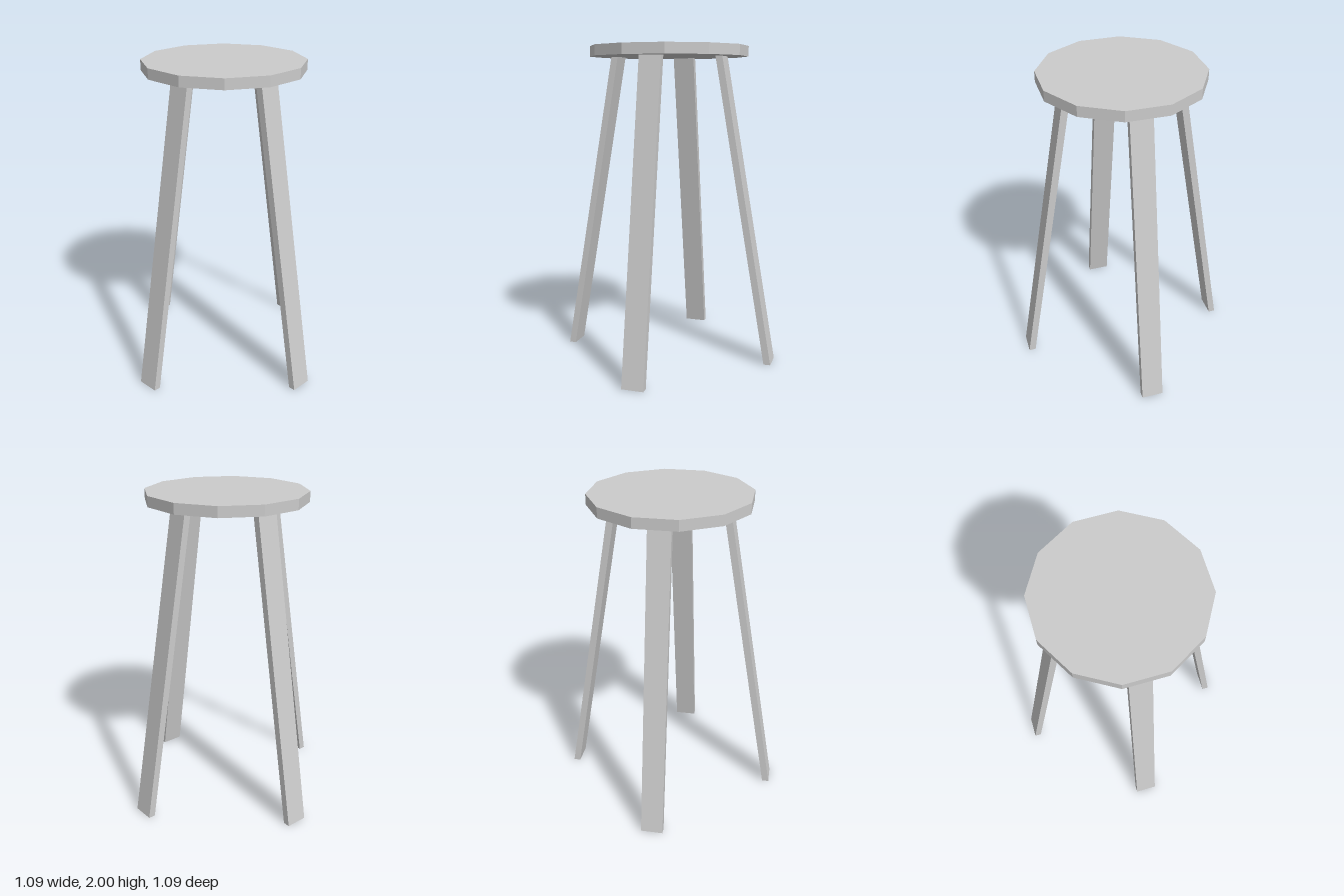
import * as THREE from 'three';

const material = new THREE.MeshStandardMaterial({ color: 0xcccccc, flatShading: true });

const HEIGHT = 2;
const SEAT_THICKNESS = 0.065;
const LEG_HEIGHT = HEIGHT - SEAT_THICKNESS;

// Flat plank whose centre line leans outward along +z toward the floor
function createLegGeometry() {
  const width = 0.138, thickness = 0.043;
  const topRadius = 0.341, footRadius = 0.677;
  const geometry = new THREE.BoxGeometry(width, LEG_HEIGHT, thickness);
  geometry.translate(0, LEG_HEIGHT / 2, 0);
  const position = geometry.attributes.position;
  for (let i = 0; i < position.count; i++) {
    const t = position.getY(i) / LEG_HEIGHT;
    position.setZ(i, position.getZ(i) + THREE.MathUtils.lerp(footRadius, topRadius, t));
  }
  geometry.computeVertexNormals();
  return geometry;
}

export function createModel() {
  const stool = new THREE.Group();
  stool.name = 'stool';

  // Twelve-sided seat
  const seat = new THREE.Mesh(new THREE.CylinderGeometry(0.5, 0.5, SEAT_THICKNESS, 12), material);
  seat.name = 'seat';
  seat.position.y = HEIGHT - SEAT_THICKNESS / 2;
  stool.add(seat);

  // Four splayed legs on the diagonals
  const legGeometry = createLegGeometry();
  ['frontLeftLeg', 'backLeftLeg', 'backRightLeg', 'frontRightLeg'].forEach((name, i) => {
    const leg = new THREE.Mesh(legGeometry, material);
    leg.name = name;
    leg.rotation.y = Math.PI / 4 + i * Math.PI / 2;
    stool.add(leg);
  });

  return stool;
}
